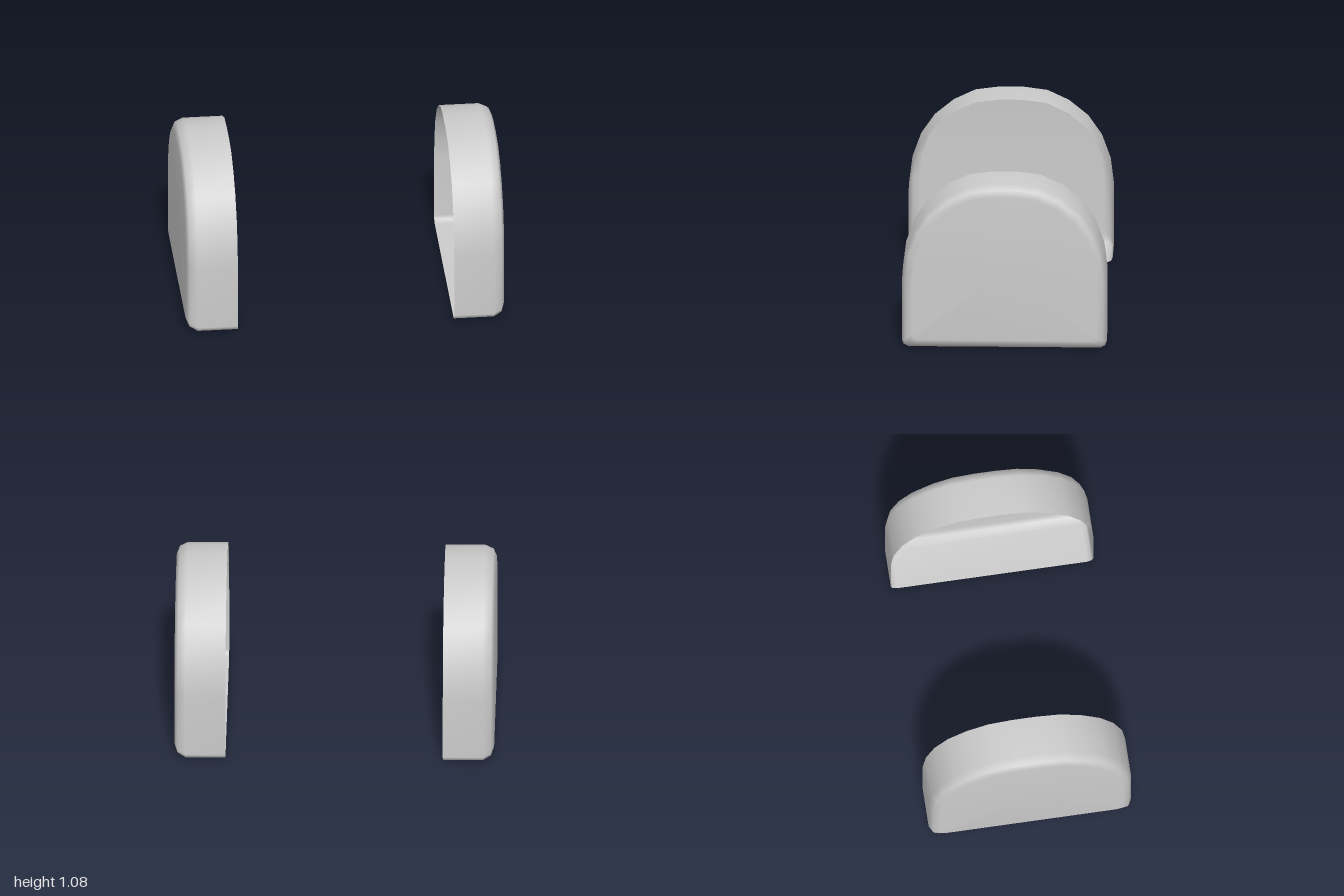
import * as THREE from 'three';

// Half of the arched outline as [z, y], from the bottom edge up to the crown
const half = [
  [0.60, 0], [0.63, 0.015], [0.64, 0.04], [0.64, 0.45], [0.62, 0.61], [0.565, 0.765],
  [0.48, 0.89], [0.36, 0.99], [0.225, 1.055], [0.075, 1.075],
];
// Rounded edge as [x, inset], from the open rim to the closed outer face
const section = [[0.68, 0], [0.93, 0], [0.98, 0.022], [1, 0.065]];
const halfWidth = 0.64, midY = 1.075 / 2;

// Open cup: arched wall, rounded edge and flat outer face towards +x
function cupGeometry() {
  const outline = [...half.map(([z, y]) => [-z, y]), ...[...half].reverse()];
  const n = outline.length;
  const positions = [], indices = [];
  for (const [x, inset] of section) {
    const sz = 1 - inset / halfWidth, sy = 1 - inset / midY;
    for (const [z, y] of outline) positions.push(x, midY + (y - midY) * sy, z * sz);
  }
  const last = section.length - 1;
  const centre = positions.length / 3;
  positions.push(1, midY, 0);
  for (let i = 0; i < n; i++) {
    const j = (i + 1) % n;
    for (let r = 0; r < last; r++) {
      const a = r * n + i, b = r * n + j;
      indices.push(a, b, a + n, b, b + n, a + n);
    }
    indices.push(centre, last * n + i, last * n + j);
  }
  const geometry = new THREE.BufferGeometry();
  geometry.setAttribute('position', new THREE.Float32BufferAttribute(positions, 3));
  geometry.setIndex(indices);
  geometry.computeVertexNormals();
  return geometry;
}

export function createModel() {
  const group = new THREE.Group();
  const material = new THREE.MeshStandardMaterial({ color: 0xcccccc, side: THREE.DoubleSide });
  const geometry = cupGeometry();

  // The two cups face each other; a half turn makes the right one
  const left = new THREE.Mesh(geometry, material);
  left.name = 'leftCup';
  const right = new THREE.Mesh(geometry, material);
  right.name = 'rightCup';
  right.rotation.y = Math.PI;
  group.add(left, right);
  return group;
}
